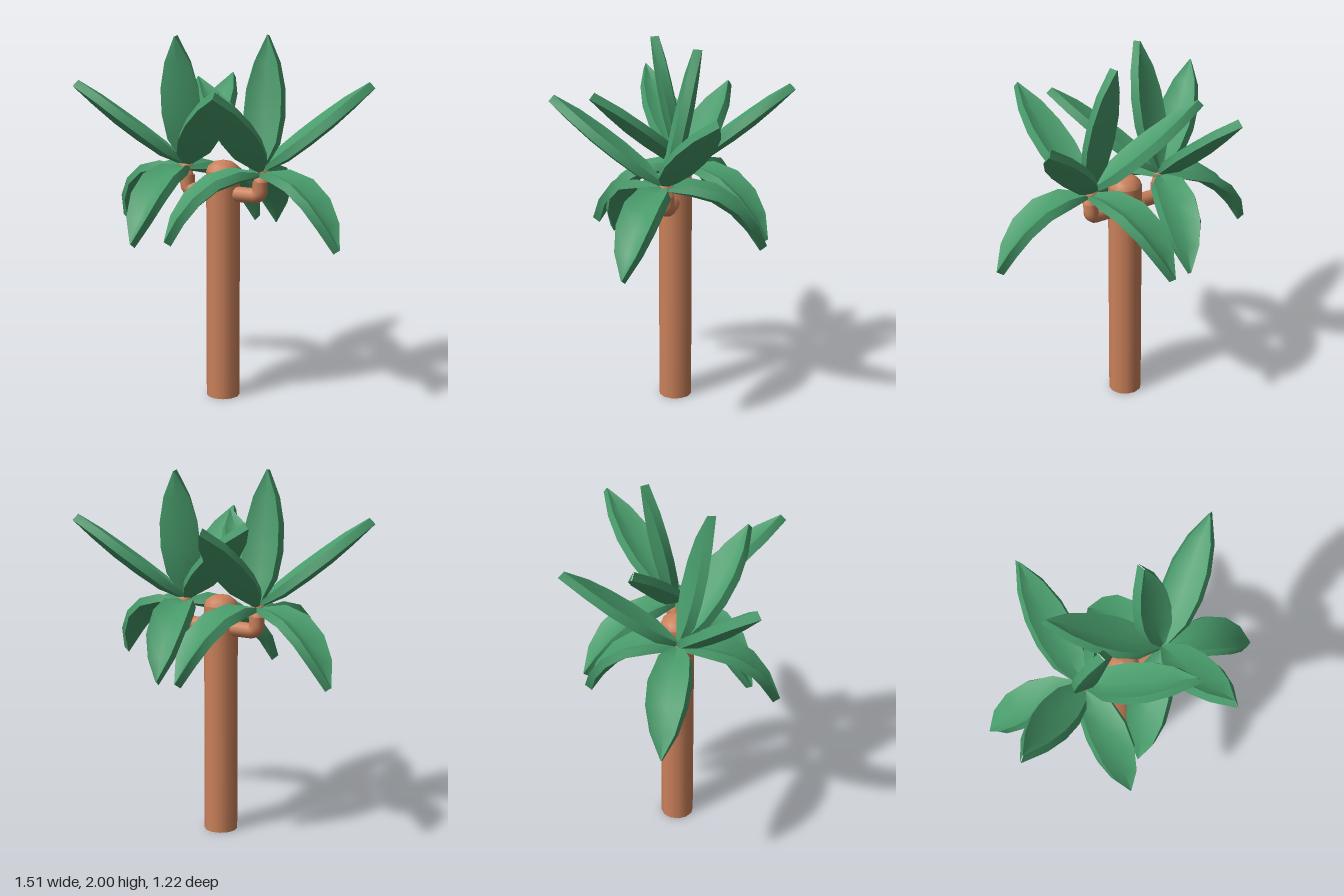
import * as THREE from 'three';
import { mergeGeometries } from 'three/addons/utils/BufferGeometryUtils.js';

const bark = new THREE.MeshStandardMaterial({ color: 0xc9805a });
bark.name = 'bark';
const leafGreen = new THREE.MeshStandardMaterial({ color: 0x479a6a });
leafGreen.name = 'leafGreen';

const v2 = (x, y) => new THREE.Vector2(x, y);
const v3 = (x, y, z) => new THREE.Vector3(x, y, z);

// Centre-line of each kind of leaf: [share of the reach, height]
const PROFILES = {
  drooping: [[0, 1.275], [0.3, 1.265], [0.55, 1.205], [0.78, 1.09], [0.97, 0.935]],
  rising: [[0, 1.295], [0.3, 1.41], [0.65, 1.57], [0.98, 1.755]],
  upright: [[0, 1.295], [0.4, 1.5], [0.72, 1.75], [0.9, 2.0]],
};
const HALF_WIDTHS = [0.015, 0.08, 0.098, 0.092, 0.062, 0.002];

// Smooth surface through rows of points
function strip(rows) {
  const cols = rows[0].length;
  const index = [];
  for (let i = 0; i < rows.length - 1; i++) {
    for (let j = 0; j < cols - 1; j++) {
      const a = i * cols + j, c = a + cols;
      index.push(a, a + 1, c, a + 1, c + 1, c);
    }
  }
  const g = new THREE.BufferGeometry().setFromPoints(rows.flat());
  g.setIndex(index);
  g.computeVertexNormals();
  return g;
}

// Thick, slightly cupped, pointed leaf from a base point to a tip (x, z)
function leafGeometry(base, tip, kind) {
  const reach = Math.hypot(tip[0] - base.x, tip[1] - base.z);
  const dir = v3((tip[0] - base.x) / reach, 0, (tip[1] - base.z) / reach);
  const side = v3(0, 1, 0).cross(dir);
  const curve = new THREE.CatmullRomCurve3(PROFILES[kind].map(([r, y]) =>
    v3(base.x + dir.x * r * reach, y, base.z + dir.z * r * reach)));
  const top = [], bottom = [], left = [], right = [];
  HALF_WIDTHS.forEach((w, i) => {
    const t = i / (HALF_WIDTHS.length - 1);
    const mid = curve.getPointAt(t);
    const up = curve.getTangentAt(t).cross(side).normalize();
    const thick = i === 0 ? 0.02 : 0.045;
    const at = (s, n) => mid.clone().addScaledVector(side, s).addScaledVector(up, n);
    const wide = w * 1.18, cup = w * 0.42;
    const tl = at(w, cup), tr = at(-w, cup);
    const bl = at(wide, cup - thick), br = at(-wide, cup - thick);
    top.push([tl, mid, tr]);
    bottom.push([br, at(0, -thick), bl]);
    left.push([bl, tl]);
    right.push([tr, br]);
  });
  return mergeGeometries([top, bottom, left, right].map(strip));
}

// Elbow branch with a flared bud on its end; s is the side it grows to
function makeBranch(s) {
  const group = new THREE.Group();
  group.name = s > 0 ? 'leftBranch' : 'rightBranch';
  const path = new THREE.CurvePath();
  path.add(new THREE.LineCurve3(v3(0.03 * s, 1.15, 0), v3(0.19 * s, 1.15, 0)));
  path.add(new THREE.QuadraticBezierCurve3(
    v3(0.19 * s, 1.15, 0), v3(0.228 * s, 1.15, 0), v3(0.228 * s, 1.188, 0)));
  path.add(new THREE.LineCurve3(v3(0.228 * s, 1.188, 0), v3(0.228 * s, 1.235, 0)));
  const arm = new THREE.Mesh(new THREE.TubeGeometry(path, 24, 0.042, 10), bark);
  arm.name = 'branchArm';
  const bud = new THREE.Mesh(new THREE.LatheGeometry(
    [v2(0.042, 1.23), v2(0.036, 1.25), v2(0.02, 1.27), v2(0.042, 1.295), v2(0, 1.3)], 10), bark);
  bud.name = 'branchBud';
  bud.position.x = 0.235 * s;
  group.add(arm, bud);
  return group;
}

// Leaf tips (x, z) of the two crowns
const CROWNS = [
  { name: 'rightCrown', base: v3(-0.235, 0, -0.01), tips: {
    drooping: [[-0.77, -0.14], [-0.25, 0.55], [-0.04, -0.52]],
    rising: [[-0.73, 0.33], [0.2, 0.4], [-0.27, -0.59]],
    upright: [[-0.2, 0.15]] } },
  { name: 'leftCrown', base: v3(0.235, 0, 0.01), tips: {
    drooping: [[0.77, 0.12], [0.06, -0.53], [-0.14, 0.41]],
    rising: [[0.71, -0.35], [0.29, 0.59], [-0.31, -0.24]],
    upright: [[0.19, -0.15]] } },
];

export function createModel() {
  const model = new THREE.Group();
  model.name = 'palmTree';

  // Trunk with a rounded top
  const trunk = new THREE.Group();
  trunk.name = 'trunk';
  const stem = new THREE.Mesh(new THREE.CylinderGeometry(0.092, 0.092, 1.27, 12, 1, true), bark);
  stem.name = 'trunkStem';
  stem.position.y = 0.635;
  const foot = new THREE.Mesh(new THREE.CircleGeometry(0.092, 12), bark);
  foot.name = 'trunkFoot';
  foot.rotation.x = Math.PI / 2;
  const cap = new THREE.Mesh(new THREE.LatheGeometry(
    [v2(0.092, 1.27), v2(0.08, 1.3), v2(0.05, 1.322), v2(0, 1.332)], 12), bark);
  cap.name = 'trunkTop';
  trunk.add(stem, foot, cap);
  model.add(trunk, makeBranch(1), makeBranch(-1));

  // Leaf crowns
  for (const { name, base, tips } of CROWNS) {
    const crown = new THREE.Group();
    crown.name = name;
    for (const kind of Object.keys(tips)) {
      for (const tip of tips[kind]) {
        const leaf = new THREE.Mesh(leafGeometry(base, tip, kind), leafGreen);
        leaf.name = kind + 'Leaf';
        crown.add(leaf);
      }
    }
    model.add(crown);
  }
  return model;
}
